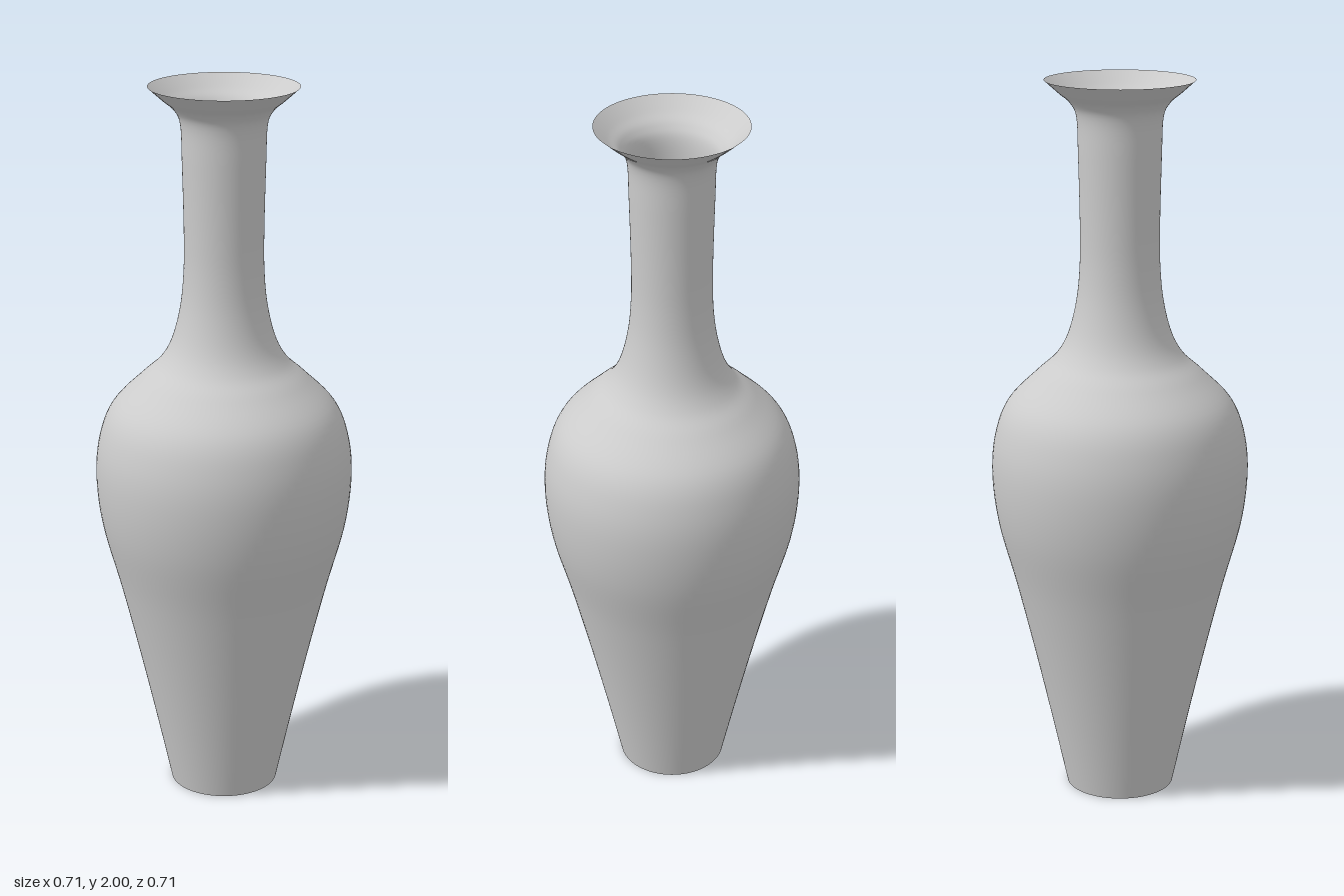
import * as THREE from 'three';

export function createModel() {
  const vase = new THREE.Group();
  vase.name = 'vase';
  const material = new THREE.MeshStandardMaterial({ color: 0xcccccc, side: THREE.DoubleSide });

  // Wall profile as [radius, height]: foot, belly, shoulder, neck, flared lip
  const profile = [
    [0.15, 0], [0.194, 0.2], [0.24, 0.4], [0.289, 0.6], [0.337, 0.78], [0.353, 0.92],
    [0.343, 1.03], [0.308, 1.12], [0.23, 1.2], [0.176, 1.25], [0.142, 1.31],
    [0.119, 1.4], [0.109, 1.5], [0.108, 1.62], [0.112, 1.8], [0.116, 1.9],
    [0.134, 1.94], [0.165, 1.967], [0.202, 2],
  ].map(([r, y]) => new THREE.Vector2(r, y));
  const points = new THREE.SplineCurve(profile).getPoints(108);

  // Thin open wall
  const wall = new THREE.Mesh(new THREE.LatheGeometry(points, 96), material);
  wall.name = 'wall';
  vase.add(wall);

  // Flat floor closing the foot, with a sharp edge to the wall
  const floor = new THREE.Mesh(new THREE.CircleGeometry(0.15, 96), material);
  floor.name = 'floor';
  floor.rotation.x = Math.PI / 2;
  vase.add(floor);

  return vase;
}
